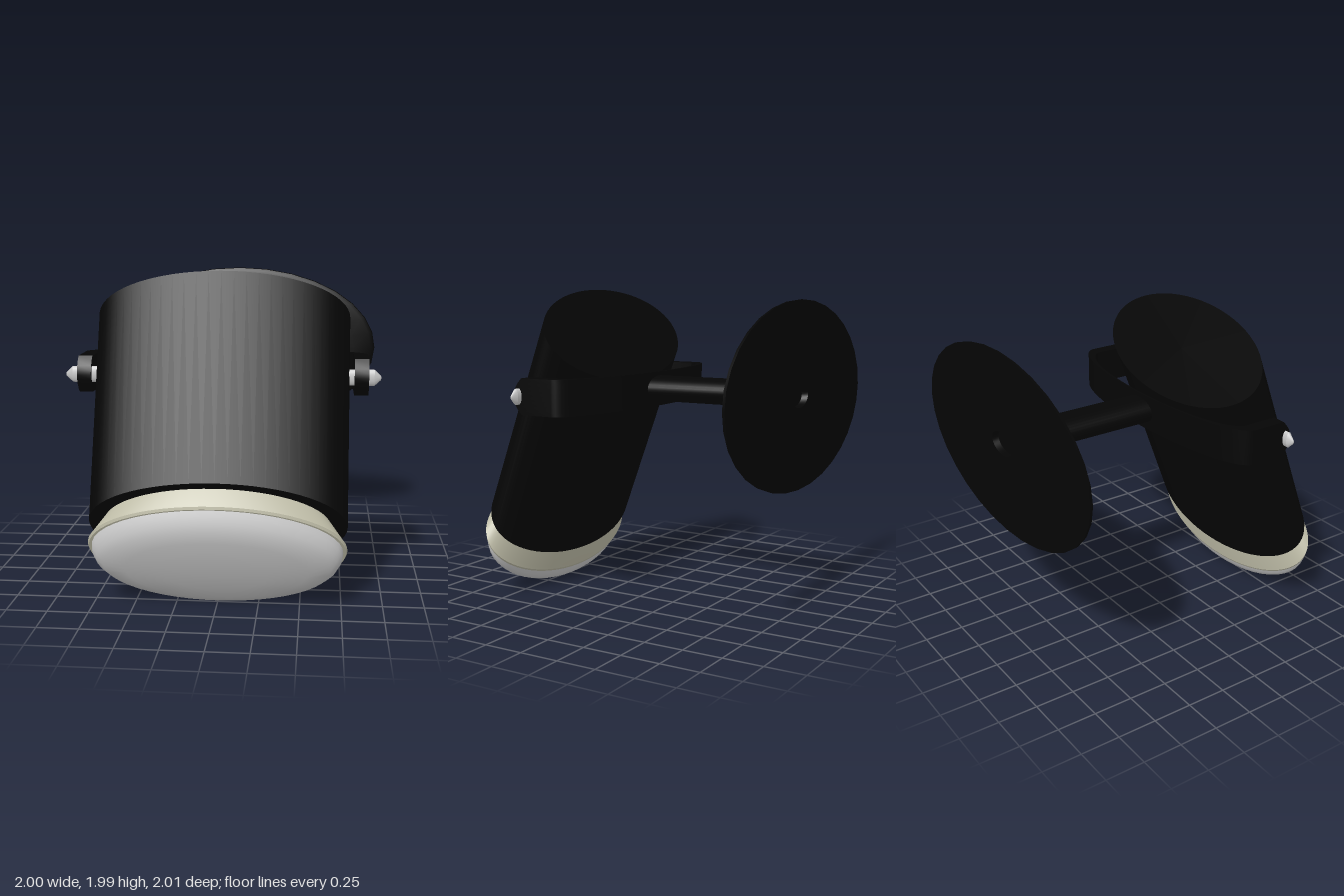
import * as THREE from 'three';
import { toCreasedNormals } from 'three/addons/utils/BufferGeometryUtils.js';

const black = new THREE.MeshStandardMaterial({ color: 0x050505 });
const cream = new THREE.MeshStandardMaterial({ color: 0xbdbba6 });
const grey = new THREE.MeshStandardMaterial({ color: 0xcccccc });

const vec = (x, y, z) => new THREE.Vector3(x, y, z);

// Turned part: profile of [radius, height] pairs, placed by three basis vectors and an origin
function turned(name, profile, material, [x, y, z, origin], segments = 48, crease = 0.5) {
  const points = profile.map(([r, h]) => new THREE.Vector2(r, h));
  const geometry = toCreasedNormals(new THREE.LatheGeometry(points, segments), crease);
  geometry.applyMatrix4(new THREE.Matrix4().makeBasis(x, y, z).setPosition(origin));
  const mesh = new THREE.Mesh(geometry, material);
  mesh.name = name;
  return mesh;
}

// Strap bent into a U, with the corners of its arm ends rounded off
function strapGeometry() {
  const strap = new THREE.Shape();
  strap.moveTo(0.897, 0.5);
  strap.lineTo(0.897, 0.22);
  strap.absellipse(0, 0.22, 0.897, 0.22, 0, -Math.PI, true);
  strap.lineTo(-0.897, 0.5);
  strap.lineTo(-0.81, 0.5);
  strap.lineTo(-0.81, 0.22);
  strap.absellipse(0, 0.22, 0.81, 0.207, -Math.PI, 0, false);
  strap.lineTo(0.81, 0.5);
  strap.closePath();
  const geometry = new THREE.ExtrudeGeometry(strap, { depth: 0.225, steps: 8, bevelEnabled: false, curveSegments: 24 });
  geometry.rotateX(Math.PI / 2).translate(0, 1.47, 0);
  const position = geometry.attributes.position;
  for (let i = 0; i < position.count; i++) {
    const u = (position.getY(i) - 1.3575) / 0.1125;
    if (position.getZ(i) > 0.49) position.setZ(i, 0.5 - 0.06 * u * u);
  }
  return toCreasedNormals(geometry, 0.5);
}

export function createModel() {
  const model = new THREE.Group();
  model.name = 'spotlight';

  // Lamp head: a leaning, slanted-ended cylinder, heights run from the top cap down to the glass
  const head = new THREE.Group();
  head.name = 'lampHead';
  const headFrame = [vec(0.78, 0, 0), vec(0, -0.938, 0.348), vec(0, -0.295, -0.155), vec(0, 1.705, 0.335)];
  head.add(turned('housing', [[0, 0], [1, 0], [1, 1.28], [0, 1.28]], black, headFrame, 64));
  head.add(turned('rim', [[0.86, 1.27], [0.875, 1.28], [0.985, 1.4], [1, 1.415], [0.99, 1.43], [0.96, 1.43]],
    cream, headFrame, 64));
  // Shallow glass with a steep edge
  head.add(turned('glass',
    [[0.97, 1.425], [0.962, 1.465], [0.93, 1.505], [0.875, 1.536], [0.7, 1.56], [0.4, 1.577], [0, 1.585]],
    grey, headFrame, 48, 0.6));
  model.add(head);

  // Yoke
  const yoke = new THREE.Mesh(strapGeometry(), black);
  yoke.name = 'yoke';
  model.add(yoke);

  // Pivot pins with pointed ends
  for (const side of [1, -1]) {
    const frame = [vec(0, 0.05, 0), vec(side, 0, 0), vec(0, 0, -0.022 * side), vec(0, 1.358, 0.46)];
    model.add(turned(side > 0 ? 'leftPin' : 'rightPin',
      [[0, 0.74], [1, 0.74], [1, 0.93], [0.25, 0.97], [0, 0.972]], grey, frame, 16));
  }

  // Wall mount: parts turned about z and flattened in height
  const mountFrame = [vec(1, 0, 0), vec(0, 0, 1), vec(0, -0.585, 0), vec(0, 1.36, 0)];
  model.add(turned('rod', [[0, -0.95], [0.143, -0.95], [0.143, 0.004], [0, 0.004]], black, mountFrame, 32));
  model.add(turned('boltHead', [[0, 0], [0.1, 0], [0.1, 0.018], [0.06, 0.027], [0, 0.03]], grey, mountFrame, 24));
  model.add(turned('wallPlate',
    [[0, -0.96], [0.12, -0.96], [0.125, -1], [1, -1], [0.995, -0.982], [0.97, -0.972], [0.85, -0.96], [0.14, -0.933], [0, -0.933]],
    black, mountFrame, 32));

  return model;
}
